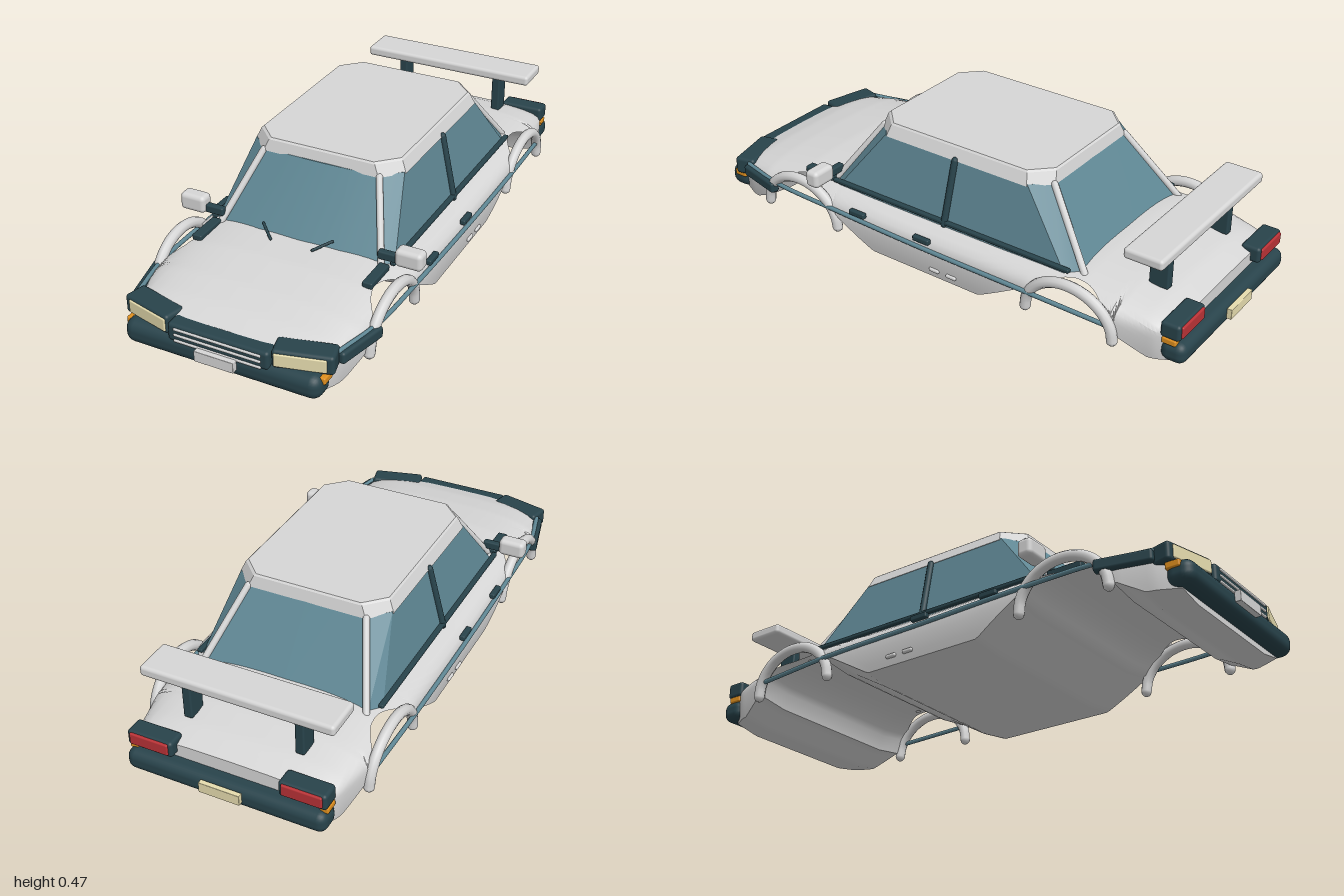
import * as THREE from 'three';
import { mergeGeometries, toCreasedNormals } from 'three/addons/utils/BufferGeometryUtils.js';
import { RoundedBoxGeometry } from 'three/addons/geometries/RoundedBoxGeometry.js';

const material = (name, color) => {
  const m = new THREE.MeshStandardMaterial({ color });
  m.name = name;
  return m;
};

// Closed skin through equal-length rings of [x, y, z] points, capped at both ends
function loft(rings, crease) {
  const n = rings[0].length, tris = [];
  for (let i = 0; i + 1 < rings.length; i++) {
    for (let j = 0; j < n; j++) {
      const k = (j + 1) % n;
      const a = rings[i][j], b = rings[i][k], c = rings[i + 1][k], d = rings[i + 1][j];
      tris.push([a, b, c], [a, c, d]);
    }
  }
  const cap = (ring, flip) => {
    const mid = [0, 1, 2].map(q => ring.reduce((sum, p) => sum + p[q], 0) / n);
    for (let j = 0; j < n; j++) {
      const k = (j + 1) % n;
      tris.push(flip ? [mid, ring[k], ring[j]] : [mid, ring[j], ring[k]]);
    }
  };
  cap(rings[0], true);
  cap(rings[rings.length - 1], false);
  // Turn the skin outward when its signed volume is negative
  const volume = tris.reduce((v, [a, b, c]) => v
    + a[0] * (b[1] * c[2] - b[2] * c[1])
    - a[1] * (b[0] * c[2] - b[2] * c[0])
    + a[2] * (b[0] * c[1] - b[1] * c[0]), 0);
  const flat = tris.flatMap(([a, b, c]) => (volume < 0 ? [...a, ...c, ...b] : [...a, ...b, ...c]));
  const g = new THREE.BufferGeometry();
  g.setAttribute('position', new THREE.Float32BufferAttribute(flat, 3));
  g.computeVertexNormals();
  return toCreasedNormals(g, crease);
}

// Straight-line lookup in a list of [z, value] pairs with rising z
function lookup(table, z) {
  let i = 0;
  while (i < table.length - 2 && z > table[i + 1][0]) i++;
  const [z0, v0] = table[i], [z1, v1] = table[i + 1];
  return v0 + (v1 - v0) * (z - z0) / (z1 - z0);
}

const WIDTH = [[-0.93, 0.33], [-0.88, 0.358], [-0.75, 0.388], [-0.6, 0.402], [-0.3, 0.405], [0.3, 0.405],
  [0.6, 0.402], [0.75, 0.388], [0.86, 0.36], [0.93, 0.325]];
const TOP = [[-0.93, 0.152], [-0.85, 0.185], [-0.75, 0.205], [-0.6, 0.219], [-0.45, 0.22], [0, 0.212],
  [0.45, 0.221], [0.6, 0.215], [0.75, 0.197], [0.85, 0.177], [0.93, 0.15]];

// Underside height: flat floor, sloped ends and wheel arches cut right across
function underside(z) {
  const d = Math.abs(z), c = z > 0 ? 0.56 : 0.585;
  const t = (d - c) / 0.165;
  const arch = Math.abs(t) < 1 ? 0.05 + 0.135 * Math.sqrt(1 - t * t) : 0;
  const slope = d < c
    ? THREE.MathUtils.clamp((d - 0.23) / 0.17, 0, 1) * 0.1
    : THREE.MathUtils.clamp((c + 0.27 - d) / 0.09, 0, 1) * 0.05;
  return Math.max(arch, slope);
}

function bodySection(z) {
  const w = lookup(WIDTH, z), top = lookup(TOP, z), low = underside(z);
  const waist = 0.115, lip = low + Math.min(0.018, (top - low) * 0.2);
  const half = [[w * 0.68, low]];
  for (let i = 0; i < 12; i++) {
    const y = lip + (top - lip) * Math.sin(i / 12 * Math.PI / 2);
    const x = y > waist
      ? w * Math.pow(1 - Math.pow((y - waist) / (top - waist), 3), 0.36)
      : w * (1 - 0.04 * Math.pow((waist - y) / waist, 2));
    half.push([x, y]);
  }
  return [[0, low], ...half, [0, top], ...half.reverse().map(([x, y]) => [-x, y])].map(([x, y]) => [x, y, z]);
}

// Mirror half of an outline given as [x, z] from the front centre to the back centre
function outline(half, y) {
  const other = half.slice(1, -1).reverse().map(([x, z]) => [-x, z]);
  return [...half, ...other].map(([x, z]) => [x, y, z]);
}

export function createModel() {
  const car = new THREE.Group();
  car.name = 'carBody';
  const paint = material('bodyPaint', 0xd6d6d6);
  const glass = material('glassBlue', 0x5f8794);
  const dark = material('darkTrim', 0x28434b);
  const cream = material('lampCream', 0xe6dcae);
  const amber = material('indicatorAmber', 0xe0901f);
  const red = material('tailRed', 0xb93236);

  const add = (name, geometry, mat, parent = car) => {
    const mesh = new THREE.Mesh(geometry, mat);
    mesh.name = name;
    parent.add(mesh);
    return mesh;
  };
  const box = (name, mat, [w, h, d], [x, y, z], r = 0.004, parent = car) => {
    const mesh = add(name, new RoundedBoxGeometry(w, h, d, 3, r), mat, parent);
    mesh.position.set(x, y, z);
    return mesh;
  };
  // Round bar through points with rounded ends
  const rod = (name, mat, points, r) => {
    const pts = points.map(p => new THREE.Vector3(...p));
    const parts = [new THREE.TubeGeometry(new THREE.CatmullRomCurve3(pts), pts.length > 2 ? 40 : 1, r, 10)];
    for (const p of [pts[0], pts[pts.length - 1]]) {
      parts.push(new THREE.SphereGeometry(r, 10, 6).translate(p.x, p.y, p.z));
    }
    return add(name, mergeGeometries(parts), mat);
  };

  // Lower body
  const sections = [];
  for (let i = 0; i <= 124; i++) sections.push(bodySection(-0.93 + i * 0.015));
  add('lowerBody', loft(sections, 0.6), paint);

  // Cabin glass and roof
  const cabinBase = [[0, 0.497], [0.15, 0.489], [0.305, 0.46], [0.335, 0.43], [0.335, -0.53], [0.305, -0.585], [0, -0.59]];
  const cabinTop = [[0, 0.312], [0.11, 0.31], [0.215, 0.3], [0.28, 0.245], [0.28, -0.345], [0.215, -0.405], [0, -0.408]];
  add('cabinGlass', loft([outline(cabinBase, 0.19), outline(cabinTop, 0.43)], 0.3), glass);
  const roofEdge = (hx, front, back) => [[0, front], [hx - 0.068, front], [hx, front - 0.068],
    [hx, back + 0.068], [hx - 0.068, back], [0, back]];
  add('roof', loft([
    outline(roofEdge(0.284, 0.31, -0.412), 0.424),
    outline(roofEdge(0.266, 0.3, -0.402), 0.464),
    outline(roofEdge(0.26, 0.294, -0.396), 0.47),
  ], 0.2), paint);

  // Front end
  box('frontBumper', dark, [0.7, 0.085, 0.095], [0, 0.063, 0.932], 0.036);
  box('grille', dark, [0.36, 0.065, 0.07], [0, 0.117, 0.941], 0.012);
  for (const y of [0.134, 0.113, 0.092]) box('grilleBar', paint, [0.31, 0.009, 0.008], [0, y, 0.977], 0.003);
  box('frontPlate', paint, [0.14, 0.038, 0.022], [0, 0.075, 0.989], 0.002);

  // Rear end
  box('rearBumper', dark, [0.71, 0.075, 0.09], [0, 0.065, -0.937], 0.03);
  box('rearPlate', cream, [0.145, 0.038, 0.018], [0, 0.075, -0.991], 0.002);
  box('spoilerWing', paint, [0.68, 0.038, 0.14], [0, 0.353, -0.81], 0.012);

  for (const s of [1, -1]) {
    // Windscreen and rear window pillars, door pillar and belt line
    rod('frontPillar', paint, [[s * 0.217, 0.425, 0.304], [s * 0.304, 0.195, 0.466]], 0.012);
    rod('rearPillar', paint, [[s * 0.217, 0.425, -0.409], [s * 0.304, 0.195, -0.588]], 0.012);
    rod('doorPillar', dark, [[s * 0.283, 0.425, -0.055], [s * 0.336, 0.2, -0.045]], 0.012);
    box('beltTrim', dark, [0.018, 0.014, 1], [s * 0.336, 0.208, -0.05]);

    // Wheel arch flares
    for (const c of [0.56, -0.585]) {
      const arc = [];
      for (let i = 0; i <= 12; i++) {
        const a = Math.PI * i / 12, rise = Math.sin(a);
        arc.push([s * (0.392 + 0.006 * rise), 0.058 + 0.143 * rise, c + 0.165 * Math.cos(a)]);
      }
      rod('wheelArch', paint, arc, 0.019);
    }

    // Side stripe, corner trim, handles and sill vents
    rod('sideStripe', glass, [[s * 0.36, 0.146, 0.86], [s * 0.398, 0.142, 0.68], [s * 0.408, 0.137, 0.4],
      [s * 0.41, 0.127, 0], [s * 0.408, 0.122, -0.4], [s * 0.395, 0.108, -0.74]], 0.008);
    box('cornerTrim', dark, [0.035, 0.042, 0.19], [s * 0.384, 0.125, 0.775], 0.01).rotation.y = -s * 0.23;
    for (const z of [0.285, 0]) box('doorHandle', dark, [0.02, 0.02, 0.068], [s * 0.404, 0.156, z], 0.005);
    for (const z of [-0.05, -0.122]) box('sillVent', paint, [0.02, 0.014, 0.042], [s * 0.398, 0.05, z], 0.006);

    // Mirrors, cowl vents and wipers
    box('mirror', paint, [0.096, 0.063, 0.055], [s * 0.403, 0.254, 0.455], 0.016);
    box('mirrorArm', dark, [0.08, 0.03, 0.025], [s * 0.33, 0.24, 0.455], 0.006);
    box('cowlVent', dark, [0.036, 0.022, 0.13], [s * 0.315, 0.203, 0.527], 0.005);
    rod('wiper', dark, [[s * 0.13, 0.246, 0.468], [s * 0.078, 0.222, 0.512]], 0.005);

    // Angled headlight units with indicators
    const lamp = new THREE.Group();
    lamp.name = 'headlight';
    lamp.position.set(s * 0.27, 0.128, 0.905);
    lamp.rotation.y = s * 0.25;
    car.add(lamp);
    box('headlightHousing', dark, [0.195, 0.066, 0.08], [0, 0, 0], 0.012, lamp);
    box('headlightLens', cream, [0.165, 0.046, 0.016], [-s * 0.008, 0, 0.037], 0.004, lamp);
    box('frontIndicator', amber, [0.025, 0.024, 0.05], [s * 0.343, 0.085, 0.92], 0.005);

    // Tail lights with indicators
    box('tailHousing', dark, [0.165, 0.058, 0.07], [s * 0.27, 0.143, -0.927], 0.012);
    box('tailLens', red, [0.14, 0.042, 0.016], [s * 0.27, 0.146, -0.96], 0.005);
    box('rearIndicator', amber, [0.03, 0.022, 0.05], [s * 0.338, 0.105, -0.925], 0.005);

    // Spoiler posts
    box('spoilerPost', dark, [0.032, 0.16, 0.07], [s * 0.2, 0.265, -0.805], 0.006);
  }
  return car;
}
